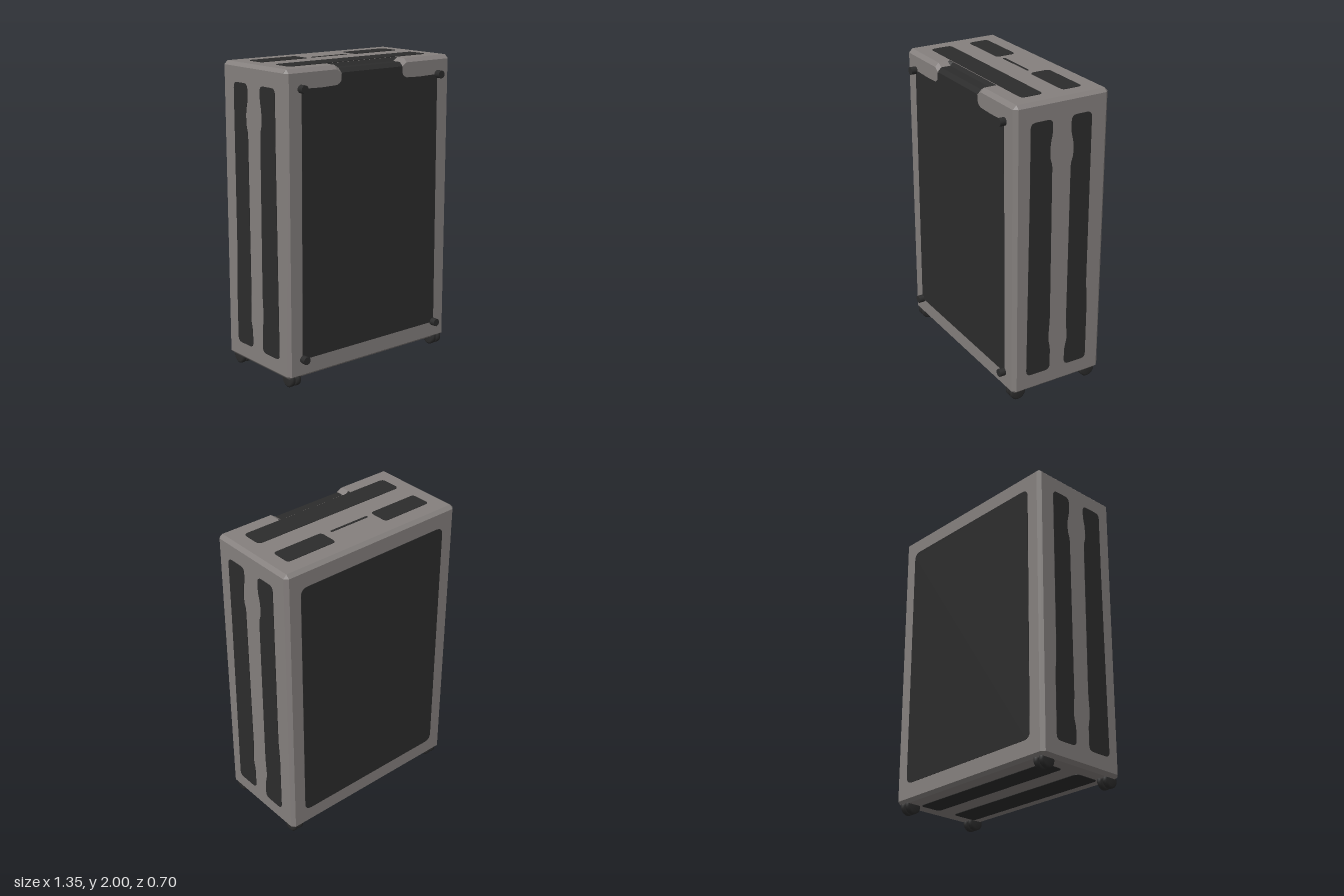
import * as THREE from 'three';

const shellGrey = new THREE.MeshStandardMaterial({ name: 'shellGrey', color: 0x85807e });
const panelDark = new THREE.MeshStandardMaterial({ name: 'panelDark', color: 0x2c2c2c });

const FRONT = 0.31, BACK = -0.35, TOP = 2, BOTTOM = 0.06, SIDE = 0.67;

// Outline of the shell in (z, y); the carry notch drops the front top edge
function outline(drop) {
  return [
    [FRONT, 0.08], [FRONT, 1.975 - drop], [0.285, TOP - drop], [0.22, TOP - drop], [0.2, TOP],
    [-0.327, TOP], [BACK, 1.978], [BACK, 0.08], [-0.327, BOTTOM], [0.285, BOTTOM],
  ];
}

// Chamfered shell lofted along x, with the notch faces in the dark colour
function makeShell() {
  const full = outline(0), notch = outline(0.022);
  const inset = full.map(([z, y]) => [THREE.MathUtils.clamp(z, -0.327, 0.285), THREE.MathUtils.clamp(y, 0.082, 1.977)]);
  const sections = [
    [-SIDE, inset], [-0.647, full], [-0.285, full], [-0.25, notch],
    [0.25, notch], [0.285, full], [0.647, full], [SIDE, inset],
  ];
  const grey = [], dark = [];
  const at = (i, j) => {
    const [x, ring] = sections[i];
    const [z, y] = ring[j % ring.length];
    return [x, y, z];
  };
  for (let i = 0; i < sections.length - 1; i++) {
    for (let j = 0; j < full.length; j++) {
      const a = at(i, j), b = at(i + 1, j), c = at(i + 1, j + 1), d = at(i, j + 1);
      const isDark = (i === 3 && j >= 1 && j <= 3) || ((i === 2 || i === 4) && j === 3);
      (isDark ? dark : grey).push(...a, ...b, ...c, ...a, ...c, ...d);
    }
  }
  // End caps
  const last = sections.length - 1;
  for (let j = 1; j < full.length - 1; j++) {
    grey.push(...at(last, 0), ...at(last, j + 1), ...at(last, j));
    grey.push(...at(0, 0), ...at(0, j), ...at(0, j + 1));
  }
  // Orient the caps outward
  for (let k = grey.length - (full.length - 2) * 18; k < grey.length; k += 9) {
    const v = [0, 3, 6].map((o) => new THREE.Vector3().fromArray(grey, k + o));
    const n = v[1].clone().sub(v[0]).cross(v[2].clone().sub(v[0]));
    if (n.x * v[0].x < 0) {
      v[2].toArray(grey, k + 3);
      v[1].toArray(grey, k + 6);
    }
  }
  const geo = new THREE.BufferGeometry();
  geo.setAttribute('position', new THREE.Float32BufferAttribute([...grey, ...dark], 3));
  geo.computeVertexNormals();
  geo.addGroup(0, grey.length / 3, 0);
  geo.addGroup(grey.length / 3, dark.length / 3, 1);
  const mesh = new THREE.Mesh(geo, [shellGrey, panelDark]);
  mesh.name = 'shell';
  return mesh;
}

// Thin plate from a polygon with rounded corners
function plateGeometry(points, radius) {
  const pts = points.map(([x, y]) => new THREE.Vector2(x, y));
  const shape = new THREE.Shape();
  pts.forEach((p, i) => {
    const prev = pts[(i + pts.length - 1) % pts.length], next = pts[(i + 1) % pts.length];
    const toward = (q) => p.clone().lerp(q, Math.min(0.5, radius / p.distanceTo(q)));
    const a = toward(prev), b = toward(next);
    if (i === 0) shape.moveTo(a.x, a.y);
    else shape.lineTo(a.x, a.y);
    shape.quadraticCurveTo(p.x, p.y, b.x, b.y);
  });
  shape.closePath();
  return new THREE.ExtrudeGeometry(shape, { depth: 0.003, bevelEnabled: false, curveSegments: 4 });
}

const rect = (x0, y0, x1, y1) => [[x0, y0], [x1, y0], [x1, y1], [x0, y1]];

export function createModel() {
  const model = new THREE.Group();
  model.name = 'trunk';
  model.add(makeShell());

  const plate = (name, points, radius, position, rotation = [0, 0, 0]) => {
    const mesh = new THREE.Mesh(plateGeometry(points, radius), panelDark);
    mesh.name = name;
    mesh.position.set(...position);
    mesh.rotation.set(...rotation);
    model.add(mesh);
  };

  // Front panel with a tab that runs up into the notch
  const halfFront = [[0.562, 0.18], [0.553, 1.88], [0.4, 1.876], [0.28, 1.88], [0.25, 1.9], [0.248, 1.953]];
  const front = [...halfFront, ...halfFront.map(([x, y]) => [-x, y]).reverse()];
  plate('frontPanel', front, 0.012, [0, 0, FRONT]);
  plate('backPanel', rect(-0.565, 0.18, 0.565, 1.88), 0.05, [0, 0, BACK], [0, Math.PI, 0]);

  // Wavy side strips, given in (z, y)
  const sideStrips = {
    FrontStrip: [[0.203, 1.88], [0.203, 1.45], [0.212, 0.5], [0.215, 0.175], [0.04, 0.175], [0.04, 0.34],
      [0.055, 0.4], [0.045, 0.55], [0.05, 1.6], [0.065, 1.63], [0.065, 1.73], [0.05, 1.79], [0.05, 1.88]],
    BackStrip: [[-0.225, 1.88], [-0.225, 0.73], [-0.235, 0.6], [-0.235, 0.175], [-0.07, 0.175], [-0.072, 0.3],
      [-0.09, 0.36], [-0.08, 0.5], [-0.083, 1.58], [-0.1, 1.62], [-0.1, 1.71], [-0.082, 1.77], [-0.082, 1.88]],
  };
  for (const s of [1, -1]) {
    const side = s > 0 ? 'left' : 'right';
    for (const [name, pts] of Object.entries(sideStrips)) {
      plate(side + name, pts.map(([z, y]) => [-s * z, y]), 0.035, [s * SIDE, 0, 0], [0, s * Math.PI / 2, 0]);
    }
  }

  // Top strips and handle slit
  const up = [-Math.PI / 2, 0, 0], down = [Math.PI / 2, 0, 0];
  plate('topFrontStrip', rect(-0.557, -0.195, 0.557, -0.047), 0.03, [0, TOP, 0], up);
  plate('topBackStripRight', rect(-0.557, 0.09, -0.197, 0.227), 0.025, [0, TOP, 0], up);
  plate('topBackStripLeft', rect(0.197, 0.09, 0.557, 0.227), 0.025, [0, TOP, 0], up);
  plate('handleSlit', rect(-0.15, 0.105, 0.14, 0.12), 0.006, [0, TOP, 0], up);

  // Underside strips
  plate('bottomFrontStrip', rect(-0.56, 0.045, 0.56, 0.225), 0.03, [0, BOTTOM, 0], down);
  plate('bottomBackStrip', rect(-0.56, -0.235, 0.56, -0.08), 0.03, [0, BOTTOM, 0], down);

  // Studs on the front corners
  const studGeo = new THREE.CylinderGeometry(0.026, 0.026, 0.045, 10).rotateX(Math.PI / 2);
  for (const x of [-0.557, 0.557]) {
    for (const y of [0.182, 1.88]) {
      const stud = new THREE.Mesh(studGeo, panelDark);
      stud.name = 'frontStud';
      stud.position.set(x, y, FRONT + 0.0185);
      model.add(stud);
    }
  }

  // Twin-wheel casters
  const wheelProfile = [[0, -0.018], [0.04, -0.018], [0.053, -0.01], [0.053, 0.01], [0.04, 0.018], [0, 0.018]]
    .map(([r, h]) => new THREE.Vector2(r, h));
  const wheelGeo = new THREE.LatheGeometry(wheelProfile, 20).rotateZ(Math.PI / 2);
  const hubGeo = new THREE.CylinderGeometry(0.03, 0.03, 0.03, 12).rotateZ(Math.PI / 2);
  for (const x of [-0.607, 0.607]) {
    for (const z of [0.255, -0.28]) {
      const caster = new THREE.Group();
      caster.name = 'caster';
      for (const dx of [-0.022, 0.022]) {
        const wheel = new THREE.Mesh(wheelGeo, panelDark);
        wheel.name = 'wheel';
        wheel.position.x = dx;
        caster.add(wheel);
      }
      const hub = new THREE.Mesh(hubGeo, panelDark);
      hub.name = 'hub';
      caster.add(hub);
      caster.position.set(x, 0.053, z);
      model.add(caster);
    }
  }
  return model;
}
